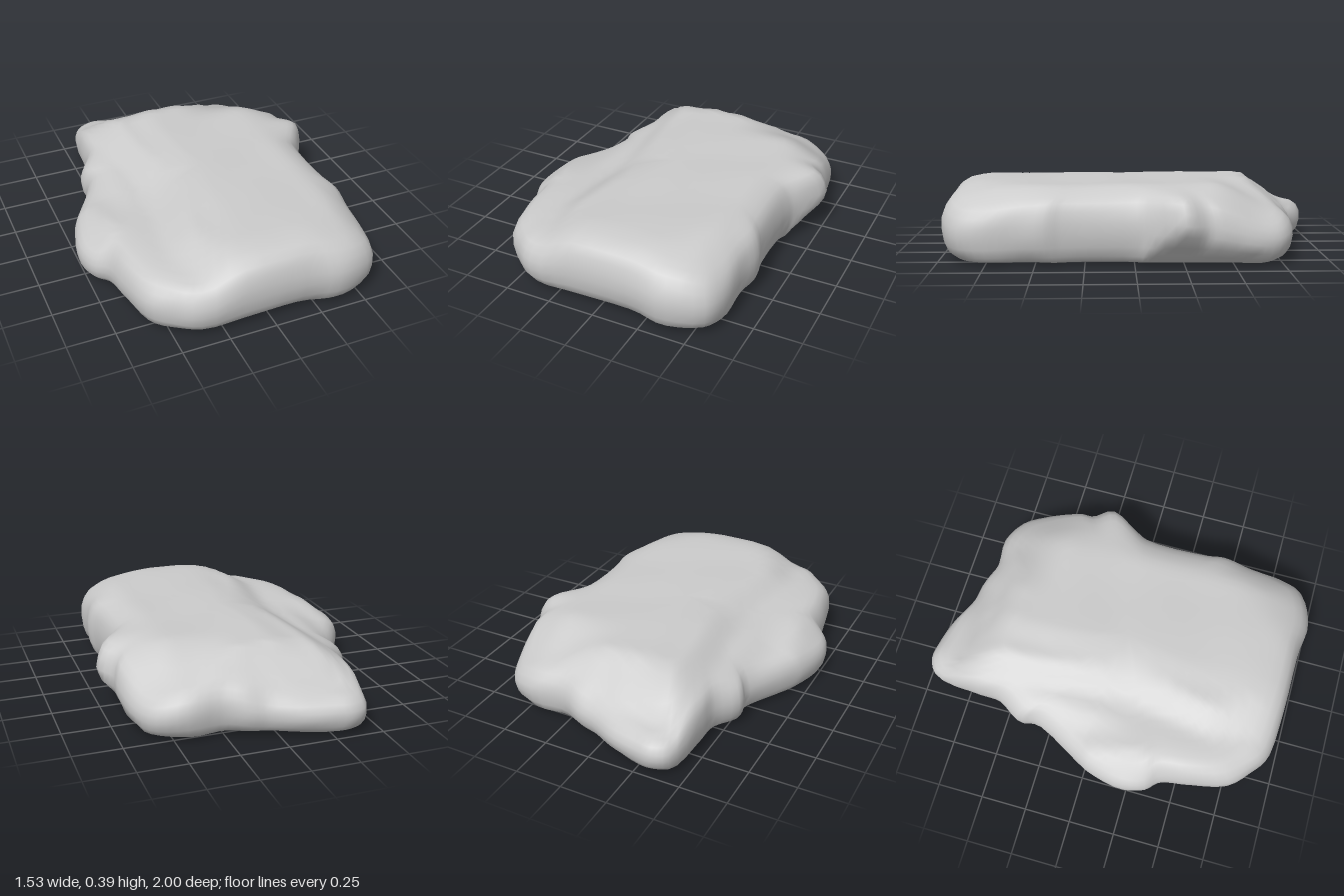
import * as THREE from 'three';

const smooth = THREE.MathUtils.smoothstep;
const lerp = THREE.MathUtils.lerp;
const SEGMENTS = 120;
const CENTRE = new THREE.Vector2(0, 0.05);

// Plan outline (x, z), starting at the back lobe and running clockwise from above
const OUTLINE = [
  [-0.35, -1], [-0.25, -0.99], [-0.1, -0.95], [0.05, -0.88], [0.15, -0.86], [0.27, -0.81],
  [0.45, -0.82], [0.6, -0.75], [0.67, -0.62], [0.7, -0.45], [0.7, -0.36], [0.76, -0.26],
  [0.68, -0.1], [0.635, 0], [0.63, 0.35], [0.65, 0.46], [0.625, 0.6], [0.62, 0.8],
  [0.57, 0.92], [0.38, 0.995], [0.2, 0.975], [-0.15, 0.97], [-0.4, 0.95], [-0.5, 0.88],
  [-0.6, 0.78], [-0.65, 0.58], [-0.68, 0.42], [-0.74, 0.35], [-0.77, 0.22], [-0.73, 0.03],
  [-0.69, -0.05], [-0.55, -0.32], [-0.56, -0.42], [-0.48, -0.56], [-0.47, -0.7], [-0.43, -0.95],
];

// Opening in the underside (x, z)
const HOLE = [
  [0.39, -0.54], [0.43, 0.64], [0.06, 0.72], [-0.29, 0.64],
  [-0.44, 0.31], [-0.37, -0.02], [-0.23, -0.53], [-0.04, -0.62],
];

// Rings from the underside up the flank and over the top:
// [scale of outline, fraction of local height, limit in +x]
const RINGS = [
  [0.88, 0.05, 0.58], [0.93, 0.08, 0.61], [0.965, 0.16, 0.63], [0.99, 0.3, 0.68],
  [1, 0.48, 0.74], [0.998, 0.64, 1], [0.98, 0.79, 1], [0.95, 0.9, 1], [0.905, 0.96, 1],
  [0.85, 0.985, 1], [0.79, 1, 1], [0.73, 1, 1], [0.67, 1, 1], [0.61, 1, 1],
  [0.55, 1, 1], [0.48, 1, 1], [0.4, 1, 1], [0.3, 1, 1], [0.15, 1, 1],
];

// Height of the upper face
function topHeight(x, z) {
  // Plateau and lower left ledge
  const stepX = -0.33 + 0.03 * Math.sin(z * 5 + 1) + 0.08 * smooth(z, 0.55, 0.9);
  let h = lerp(0.295, 0.38, smooth(x, stepX - 0.08, stepX + 0.12));
  h += 0.02 * smooth(x, -0.22, -0.05);
  h -= 0.05 * smooth(-x, 0.4, 0.58) * (1 - smooth(z, -0.1, 0.3));
  h -= 0.07 * smooth(-x, 0.6, 0.73) * smooth(z, -0.1, 0.3);
  // Right shoulder, kept high beside the side bulge, and sloping right corners
  const bulge = Math.exp(-(((z + 0.22) / 0.17) ** 2));
  h -= lerp(0.045, 0.02, bulge) * smooth(x, 0.42, 0.64);
  h -= 0.05 * smooth(x + z, 1, 1.45);
  h -= 0.09 * smooth(-z, 0.38, 0.72) * smooth(x, 0.08, 0.4);
  h -= 0.03 * smooth(x - z, 0.85, 1.25);
  // Step down to the back lobe
  h = lerp(h, Math.min(h, 0.335), smooth(-z, 0.6, 0.7));
  h = lerp(h, Math.min(h, 0.28), smooth(-z, 0.68, 0.79));
  h -= 0.06 * smooth(-z, 0.77, 0.86) * (1 - smooth(x, 0, 0.3));
  return h + 0.004 * Math.sin(x * 9 + z * 5) * Math.sin(z * 8 - x * 3);
}

// Height of the underside, lowest towards the back
function bottomHeight(z) {
  return 0.02 - 0.02 * smooth(-z, 0.6, 0.85);
}

// Where a ray from the centre towards p meets the opening's edge
function holePoint(p) {
  const dir = p.clone().sub(CENTRE);
  let best = 0.5;
  HOLE.forEach(([ax, az], i) => {
    const [bx, bz] = HOLE[(i + 1) % HOLE.length];
    const ex = bx - ax, ez = bz - az;
    const wx = ax - CENTRE.x, wz = az - CENTRE.y;
    const det = dir.x * ez - dir.y * ex;
    const t = (wx * ez - wz * ex) / det;
    const u = (wx * dir.y - wz * dir.x) / det;
    if (t > 0 && u >= -1e-6 && u <= 1 + 1e-6) best = t;
  });
  return dir.multiplyScalar(best).add(CENTRE);
}

function rockGeometry() {
  const curve = new THREE.CatmullRomCurve3(
    OUTLINE.map(([x, z]) => new THREE.Vector3(x, 0, z)), true, 'centripetal');
  const rim = [];
  for (let j = 0; j < SEGMENTS; j++) {
    const p = curve.getPoint(j / SEGMENTS);
    rim.push(new THREE.Vector2(p.x, p.z));
  }

  const positions = [];
  const index = [];

  // Edge of the opening
  rim.forEach((p) => {
    const q = holePoint(p);
    positions.push(q.x, 0.015, q.y);
  });

  // Flank and upper face, with shallow dents along the shoulder
  RINGS.forEach(([k, f, limit]) => {
    rim.forEach((p, j) => {
      const a = (j / SEGMENTS) * Math.PI * 2;
      const dent = 0.01 * Math.sin(a * 11 + f * 3) * Math.sin(a * 5)
        * smooth(k, 0.8, 0.9) * (1 - smooth(k, 0.96, 1));
      const q = p.clone().sub(CENTRE).multiplyScalar(k + dent).add(CENTRE);
      q.x = Math.min(q.x, limit);
      positions.push(q.x, Math.max(bottomHeight(q.y), f * topHeight(q.x, q.y)), q.y);
    });
  });

  const rows = RINGS.length + 1;
  for (let i = 0; i < rows - 1; i++) {
    for (let j = 0; j < SEGMENTS; j++) {
      const n = (j + 1) % SEGMENTS;
      const a = i * SEGMENTS + j, b = i * SEGMENTS + n;
      const c = a + SEGMENTS, d = b + SEGMENTS;
      index.push(a, c, b, b, c, d);
    }
  }

  // Close the middle of the upper face
  const mid = positions.length / 3;
  positions.push(CENTRE.x, topHeight(CENTRE.x, CENTRE.y), CENTRE.y);
  const last = (rows - 1) * SEGMENTS;
  for (let j = 0; j < SEGMENTS; j++) {
    index.push(last + j, mid, last + ((j + 1) % SEGMENTS));
  }

  const geometry = new THREE.BufferGeometry();
  geometry.setAttribute('position', new THREE.Float32BufferAttribute(positions, 3));
  geometry.setIndex(index);
  geometry.computeVertexNormals();
  return geometry;
}

export function createModel() {
  const group = new THREE.Group();
  group.name = 'flatRock';
  const material = new THREE.MeshStandardMaterial({ color: 0xcccccc, side: THREE.DoubleSide });
  const rock = new THREE.Mesh(rockGeometry(), material);
  rock.name = 'rockShell';
  group.add(rock);
  return group;
}
